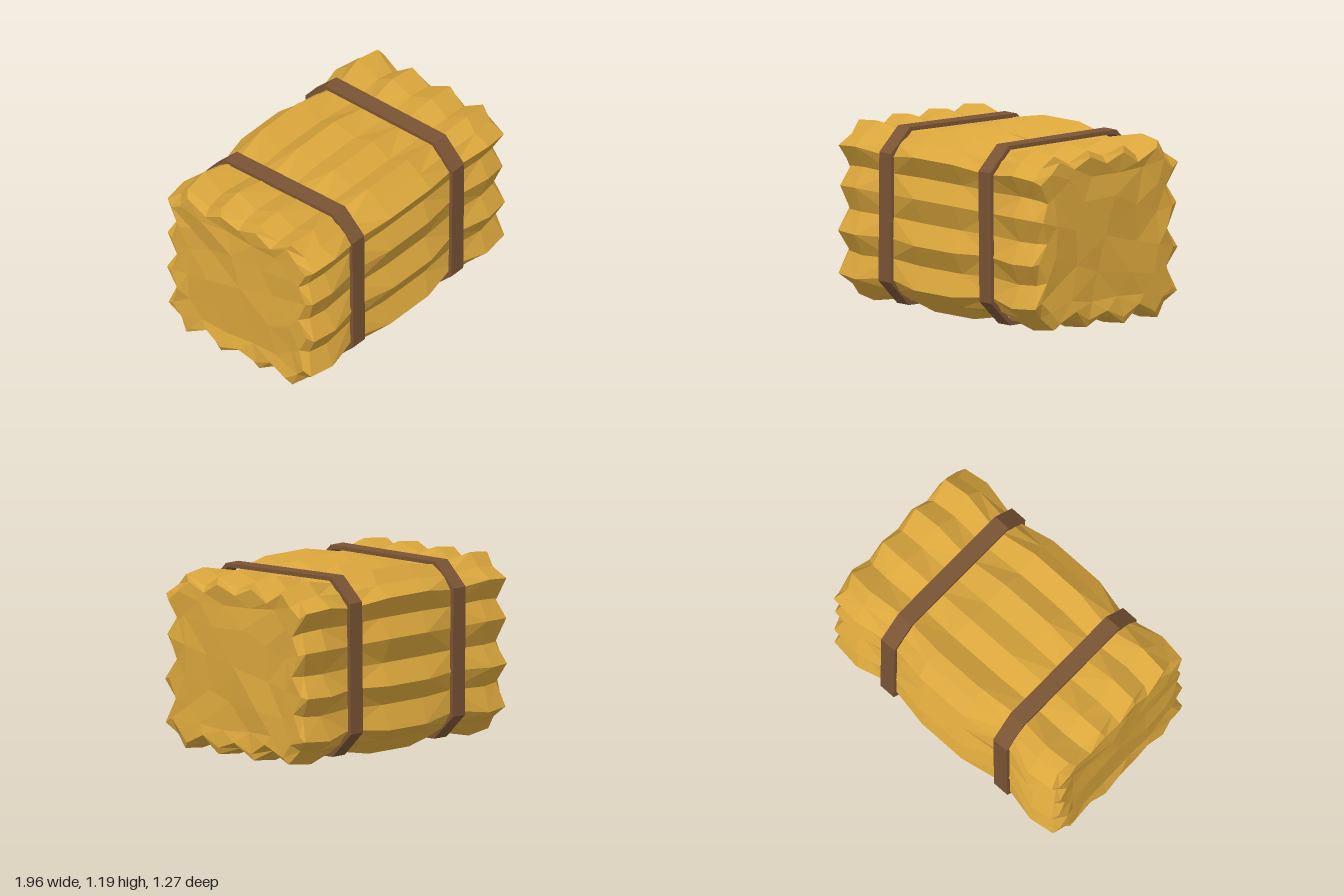
import * as THREE from 'three';

// Pleated cross-section as [z, y]; even entries are ridges, odd ones are grooves
const PROFILE = [
  [0.62, 0.17], [0.562, 0.32], [0.635, 0.46], [0.562, 0.6], [0.62, 0.76], [0.553, 0.89], [0.63, 1.03], [0.535, 1.102],
  [0.445, 1.18], [0.3, 1.113], [0.16, 1.19], [0, 1.132], [-0.16, 1.19], [-0.3, 1.104], [-0.46, 1.19], [-0.535, 1.102],
  [-0.63, 1.03], [-0.553, 0.89], [-0.62, 0.76], [-0.562, 0.6], [-0.635, 0.46], [-0.562, 0.33], [-0.62, 0.17], [-0.54, 0.098],
  [-0.46, 0.005], [-0.3, 0.078], [-0.16, 0.0], [0, 0.058], [0.16, 0.005], [0.3, 0.078], [0.45, 0.015], [0.54, 0.098],
];
const MID_Y = 0.595;

// Stations along the bale: [x, ridge scale, groove scale]; pinched under the straps
const STATIONS = [
  [-0.95, 0.965, 0.965], [-0.77, 1, 1], [-0.49, 0.915, 0.96], [-0.19, 1, 1],
  [0.19, 1, 1], [0.49, 0.915, 0.96], [0.76, 1, 1], [0.95, 0.965, 0.965],
];

// Rings of each end cap: [scale, |x|, jitter of x, jitter of scale, halve the point count]
const CAP_RINGS = [
  [0.92, 0.97, 0.02, 0.02, false],
  [0.7, 0.96, 0.03, 0.06, true],
  [0.42, 0.958, 0.03, 0.06, true],
];

function seeded(seed) {
  return () => {
    seed = (seed * 16807) % 2147483647;
    return seed / 2147483647 - 0.5;
  };
}

function flatGeometry(triangles) {
  const geometry = new THREE.BufferGeometry().setFromPoints(triangles.flat());
  geometry.computeVertexNormals();
  return geometry;
}

function makeRing([x, ridge, groove], index, random) {
  const isEnd = index === 0 || index === STATIONS.length - 1;
  return PROFILE.map(([z, y], i) => {
    const odd = i % 2 === 1;
    const s = odd ? groove : ridge;
    // Grooves stop short of the ends, ridges drift a little along the bale
    const px = isEnd ? x - Math.sign(x) * (odd ? 0.035 : 0) + random() * 0.02 : x + random() * 0.04;
    return new THREE.Vector3(px, MID_Y + (y - MID_Y) * s, z * s);
  });
}

// Lumpy end built from shrinking rings that follow the pleated rim
function endCap(rim, side, random) {
  const triangles = [];
  const add = (a, b, c) => triangles.push(side > 0 ? [a, c, b] : [a, b, c]);
  let outer = rim;
  for (const [scale, x, jitterX, jitterScale, halve] of CAP_RINGS) {
    const step = halve ? 2 : 1;
    const n = outer.length / step;
    const inner = [];
    for (let j = 0; j < n; j++) {
      const p = rim[(j * rim.length) / n];
      const s = scale + random() * jitterScale;
      inner.push(new THREE.Vector3(side * (x + random() * jitterX), MID_Y + (p.y - MID_Y) * s, p.z * s));
    }
    for (let j = 0; j < n; j++) {
      const a = outer[step * j], b = outer[step * j + step - 1];
      const c = outer[(step * j + step) % outer.length];
      const d = inner[j], e = inner[(j + 1) % n];
      if (halve) add(a, b, d);
      add(b, e, d);
      add(b, c, e);
    }
    outer = inner;
  }
  const centre = new THREE.Vector3(side * 0.965, MID_Y + 0.01, 0.01);
  outer.forEach((p, j) => add(p, outer[(j + 1) % outer.length], centre));
  return flatGeometry(triangles);
}

// Chamfered rectangle used for both edges of a strap
function chamferedLoop(w, h, c) {
  return [
    [w, -h + c], [w, h - c], [w - c, h], [-w + c, h],
    [-w, h - c], [-w, -h + c], [-w + c, -h], [w - c, -h],
  ].map(([x, y]) => new THREE.Vector2(x, y));
}

function strapGeometry(w, h) {
  const shape = new THREE.Shape(chamferedLoop(w, h, 0.158));
  shape.holes.push(new THREE.Path(chamferedLoop(w - 0.025, h - 0.025, 0.148).reverse()));
  const geometry = new THREE.ExtrudeGeometry(shape, { depth: 0.116, bevelEnabled: false });
  return geometry.translate(0, 0, -0.058).rotateY(Math.PI / 2);
}

export function createModel() {
  const straw = new THREE.MeshStandardMaterial({ color: 0xdaa63c });
  straw.name = 'straw';
  const leather = new THREE.MeshStandardMaterial({ color: 0x7a5434 });
  leather.name = 'brown strap';

  const model = new THREE.Group();
  model.name = 'strawBale';
  const add = (name, geometry, material) => {
    const mesh = new THREE.Mesh(geometry, material);
    mesh.name = name;
    model.add(mesh);
    return mesh;
  };

  // Pleated body
  const random = seeded(4711);
  const rings = STATIONS.map((station, i) => makeRing(station, i, random));
  const triangles = [];
  for (let i = 0; i < rings.length - 1; i++) {
    for (let j = 0; j < PROFILE.length; j++) {
      const k = (j + 1) % PROFILE.length;
      const a = rings[i][j], b = rings[i + 1][j], c = rings[i + 1][k], d = rings[i][k];
      if ((i + j) % 2) triangles.push([a, b, c], [a, c, d]);
      else triangles.push([a, b, d], [b, c, d]);
    }
  }
  add('baleBody', flatGeometry(triangles), straw);

  // Lumpy ends
  add('leftEnd', endCap(rings[rings.length - 1], 1, random), straw);
  add('rightEnd', endCap(rings[0], -1, random), straw);

  // Two straps, the left one slightly larger and both a little skewed
  for (const [name, x, y, w, h, tilt] of [
    ['leftStrap', 0.483, 0.602, 0.611, 0.58, 0.01],
    ['rightStrap', -0.497, 0.598, 0.607, 0.574, -0.008],
  ]) {
    const strap = add(name, strapGeometry(w, h), leather);
    strap.position.set(x, y, 0);
    strap.rotation.x = tilt;
  }
  return model;
}
